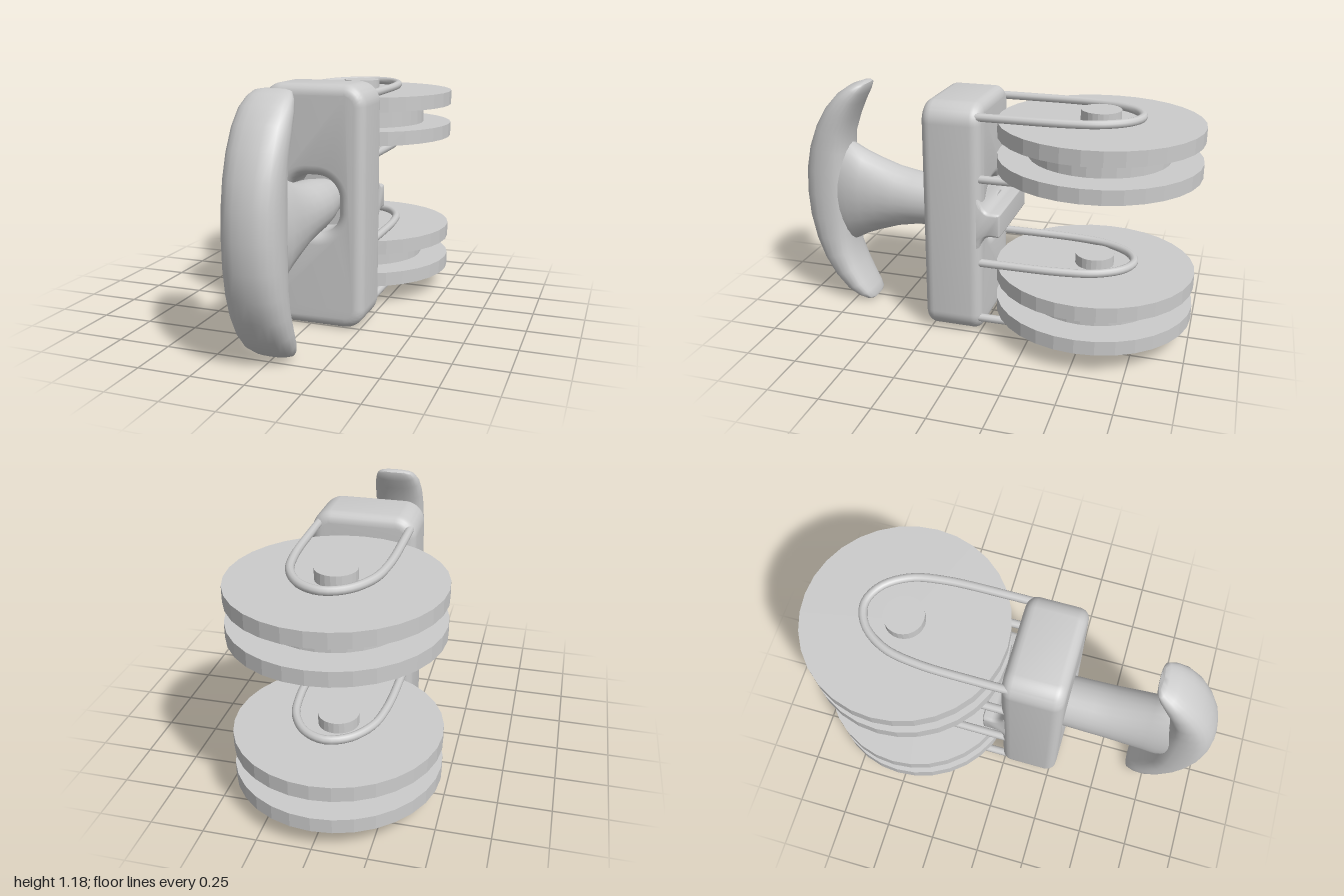
import * as THREE from 'three';
import { toCreasedNormals } from 'three/addons/utils/BufferGeometryUtils.js';

const smooth = new THREE.MeshStandardMaterial({ color: 0xcccccc });
const faceted = new THREE.MeshStandardMaterial({ color: 0xcccccc, flatShading: true });

function add(parent, name, geometry, material = smooth) {
  const mesh = new THREE.Mesh(geometry, material);
  mesh.name = name;
  parent.add(mesh);
  return mesh;
}

// Skin a list of closed rings (equal point counts) and cap both ends.
function loft(rings) {
  const n = rings[0].length, pos = [], idx = [];
  rings.forEach(r => r.forEach(p => pos.push(p.x, p.y, p.z)));
  for (let i = 0; i < rings.length - 1; i++) {
    for (let j = 0; j < n; j++) {
      const k = (j + 1) % n, a = i * n + j, b = i * n + k;
      idx.push(a, b, b + n, a, b + n, a + n);
    }
  }
  const last = (rings.length - 1) * n;
  for (let j = 1; j < n - 1; j++) {
    idx.push(0, j + 1, j, last, last + j, last + j + 1);
  }
  const g = new THREE.BufferGeometry();
  g.setAttribute('position', new THREE.Float32BufferAttribute(pos, 3));
  g.setIndex(idx);
  return toCreasedNormals(g, 0.9);
}

function roundedRect(target, x0, y0, x1, y1, r) {
  target.moveTo(x0 + r, y0);
  target.lineTo(x1 - r, y0);
  target.absarc(x1 - r, y0 + r, r, -Math.PI / 2, 0);
  target.lineTo(x1, y1 - r);
  target.absarc(x1 - r, y1 - r, r, 0, Math.PI / 2);
  target.lineTo(x0 + r, y1);
  target.absarc(x0 + r, y1 - r, r, Math.PI / 2, Math.PI);
  target.lineTo(x0, y0 + r);
  target.absarc(x0 + r, y0 + r, r, Math.PI, Math.PI * 1.5);
  return target;
}

// Crescent grip: each section spans an outer (y, z) to an inner (y, z) point.
function gripGeometry() {
  const half = [ // outer dy, outer z, inner dy, inner z, half width
    [0, 1.0, 0, 0.75, 0.13], [0.13, 0.992, 0.12, 0.75, 0.13],
    [0.25, 0.965, 0.22, 0.754, 0.13], [0.36, 0.92, 0.31, 0.75, 0.13],
    [0.46, 0.86, 0.40, 0.72, 0.128], [0.53, 0.795, 0.48, 0.685, 0.12],
    [0.57, 0.735, 0.53, 0.658, 0.105], [0.587, 0.685, 0.565, 0.645, 0.085],
    [0.588, 0.662, 0.58, 0.645, 0.055],
  ];
  const mirrored = half.slice(1).reverse().map(([a, b, c, d, w]) => [-a, b, -c, d, w]);
  const power = v => Math.sign(v) * Math.abs(v) ** 0.8;
  const rings = [...mirrored, ...half].map(([oy, oz, iy, iz, w]) => {
    const ring = [];
    for (let j = 0; j < 24; j++) {
      const t = j / 24 * Math.PI * 2, s = power(Math.cos(t)) / 2;
      ring.push(new THREE.Vector3(power(Math.sin(t)) * w,
        0.594 + (oy + iy) / 2 + (oy - iy) * s, (oz + iz) / 2 + (oz - iz) * s));
    }
    return ring;
  });
  return loft(rings);
}

// Flared neck running from the crossbar to the grip.
function neckGeometry() {
  const stations = [ // z, half width, half height
    [-0.03, 0.09, 0.08], [0.1, 0.1, 0.1], [0.2, 0.12, 0.118], [0.28, 0.128, 0.128],
    [0.4, 0.13, 0.138], [0.5, 0.13, 0.158], [0.6, 0.13, 0.193],
    [0.68, 0.128, 0.226], [0.75, 0.125, 0.265], [0.82, 0.11, 0.27],
  ];
  return loft(stations.map(([z, rx, ry]) => {
    const ring = [];
    for (let j = 0; j < 24; j++) {
      const t = j / 24 * Math.PI * 2;
      ring.push(new THREE.Vector3(Math.cos(t) * rx, 0.594 + Math.sin(t) * ry, z));
    }
    return ring;
  }));
}

// Rounded block with an opening for the neck.
function blockGeometry() {
  const bevel = 0.05;
  const shape = roundedRect(new THREE.Shape(), -0.24, 0.005, 0.27, 1.168, 0.1);
  shape.holes.push(roundedRect(new THREE.Path(), -0.115, 0.46, 0.145, 0.74, 0.11));
  const g = new THREE.ExtrudeGeometry(shape, {
    depth: 0.29 - 2 * bevel, bevelThickness: bevel, bevelSize: bevel,
    bevelOffset: -bevel, bevelSegments: 5, curveSegments: 8,
  });
  g.translate(0, 0, -0.01 + bevel);
  return toCreasedNormals(g, 0.7);
}

// Bar across the rear of the block, filleted into its back face.
function crossbarGeometry() {
  const s = new THREE.Shape();
  s.moveTo(-0.07, 0.46);
  s.lineTo(0, 0.46);
  s.quadraticCurveTo(0.02, 0.53, 0.06, 0.53);
  s.lineTo(0.095, 0.53);
  s.quadraticCurveTo(0.105, 0.53, 0.105, 0.54);
  s.lineTo(0.105, 0.64);
  s.quadraticCurveTo(0.105, 0.65, 0.095, 0.65);
  s.lineTo(0.06, 0.65);
  s.quadraticCurveTo(0.02, 0.65, 0, 0.72);
  s.lineTo(-0.07, 0.72);
  s.closePath();
  const g = new THREE.ExtrudeGeometry(s, {
    depth: 0.45, bevelThickness: 0.02, bevelSize: 0.015, bevelOffset: -0.015,
    bevelSegments: 3, curveSegments: 6,
  });
  g.rotateY(Math.PI / 2).translate(0, 0, 0); // local x becomes -z
  g.translate(-0.21, 0, 0);
  return toCreasedNormals(g, 0.7);
}

// U-shaped wire retainer in the horizontal plane.
function wireGeometry() {
  const side = [[0.22, 0.05], [0.22, -0.1], [0.212, -0.4], [0.18, -0.56], [0.1, -0.675]];
  const path = [...side, [0, -0.715], ...side.slice().reverse().map(([x, z]) => [-x, z])];
  const curve = new THREE.CatmullRomCurve3(path.map(([x, z]) => new THREE.Vector3(x + 0.012, 0, z)));
  return new THREE.TubeGeometry(curve, 56, 0.02, 10);
}

// Grooved wheel with its axle and two wires; y is the lower face of the wheel.
function wheelAssembly(name, y) {
  const group = new THREE.Group();
  group.name = name;
  const disc = (part, r, bottom, top, sides = 32) =>
    add(group, part, new THREE.CylinderGeometry(r, r, top - bottom, sides), faceted)
      .position.set(0, (bottom + top) / 2, -0.52);
  disc('lowerFlange', 0.483, 0, 0.07);
  disc('wheelHub', 0.337, 0.07, 0.168);
  disc('upperFlange', 0.483, 0.168, 0.24);
  disc('axle', 0.095, -0.01, 0.292, 24);
  const wire = wireGeometry();
  add(group, 'lowerWire', wire).position.y = -0.026;
  add(group, 'upperWire', wire).position.y = 0.272;
  group.position.y = y;
  return group;
}

export function createModel() {
  const model = new THREE.Group();
  model.name = 'wheeledHandle';
  add(model, 'block', blockGeometry());
  add(model, 'crossbar', crossbarGeometry());
  add(model, 'neck', neckGeometry());
  add(model, 'grip', gripGeometry());
  model.add(wheelAssembly('lowerWheel', 0.11), wheelAssembly('upperWheel', 0.836));
  return model;
}
